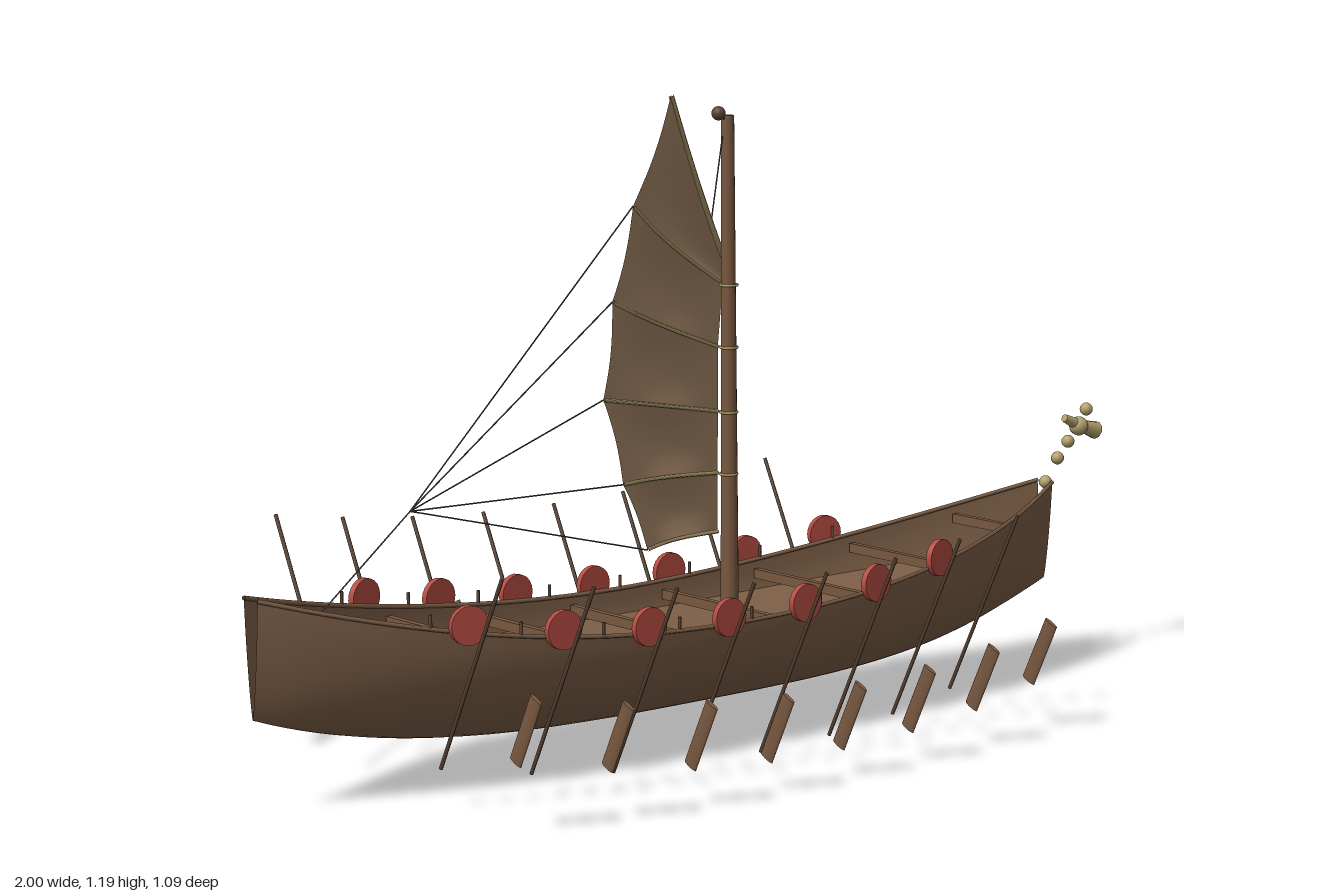
import * as THREE from 'three';

const mat = (name, color, side = THREE.FrontSide) => {
  const m = new THREE.MeshStandardMaterial({ color, side });
  m.name = name;
  return m;
};
const V = (x, y, z) => new THREE.Vector3(x, y, z);

// Grid surface from a rule fn(s, t) -> Vector3, with s and t in 0..1
function surface(fn, ns, nt) {
  const pos = [], idx = [];
  for (let i = 0; i <= ns; i++)
    for (let j = 0; j <= nt; j++) pos.push(...fn(i / ns, j / nt).toArray());
  for (let i = 0; i < ns; i++)
    for (let j = 0; j < nt; j++) {
      const a = i * (nt + 1) + j, b = a + nt + 1;
      idx.push(a, a + 1, b, b, a + 1, b + 1);
    }
  const g = new THREE.BufferGeometry();
  g.setAttribute('position', new THREE.Float32BufferAttribute(pos, 3));
  g.setIndex(idx);
  g.computeVertexNormals();
  return g;
}

// Hull lines along its own length u
const HALF = 0.94;
const st = (u) => Math.min(1, Math.abs(u / HALF));
const halfWidth = (u) => 0.02 + 0.167 * (1 - st(u) ** (u < 0 ? 3.1 : 2.6));
const sheer = (u) => 0.235 + (u < 0 ? 0.135 : 0.122) * st(u) ** 2;
const keel = (u) => 0.058 + 0.105 * st(u) ** 3.4;
const deckY = (u) => 0.188 + 0.05 * st(u) ** 2;
// Section fullness: round amidships, V-shaped at the ends
const fullness = (u) => 2.1 - 0.8 * st(u) ** 5;
const widthAt = (u, y) => {
  const d = Math.min(1, (sheer(u) - y) / (sheer(u) - keel(u))), e = fullness(u);
  return halfWidth(u) * (1 - d ** e) ** (1 / e);
};

export function createModel() {
  const root = new THREE.Group();
  root.name = 'sailingLongboat';
  const hullWood = mat('hull wood', 0x7d5f47, THREE.DoubleSide);
  const darkWood = mat('dark wood', 0x5c4434);
  const mastWood = mat('mast wood', 0x785840);
  const red = mat('shield red', 0xb54c42);
  const cloth = mat('sail cloth', 0xaa896a, THREE.DoubleSide);
  const gold = mat('pale gold', 0xb3a06c);
  const rope = mat('rope', 0x4a4540);

  const add = (parent, name, geo, material, p) => {
    const m = new THREE.Mesh(geo, material);
    m.name = name;
    if (p) m.position.copy(p);
    parent.add(m);
    return m;
  };
  const rod = (parent, name, a, b, r1, r2, material, sides = 8) => {
    const d = b.clone().sub(a);
    const m = add(parent, name, new THREE.CylinderGeometry(r2, r1, d.length(), sides), material,
      a.clone().add(b).multiplyScalar(0.5));
    m.quaternion.setFromUnitVectors(V(0, 1, 0), d.normalize());
    return m;
  };

  // The boat lies at a slight angle
  const boat = new THREE.Group();
  boat.name = 'boat';
  boat.position.set(-0.07, 0, 0.005);
  boat.rotation.y = -Math.PI / 18;
  root.add(boat);

  // Hull shell: superellipse cross-sections
  add(boat, 'hull', surface((s, t) => {
    const u = (s * 2 - 1) * HALF, a = t * Math.PI, p = 2 / fullness(u);
    const c = Math.cos(a), q = Math.max(0, Math.sin(a));
    const v = -Math.sign(c) * Math.abs(c) ** p * halfWidth(u);
    return V(u, sheer(u) - (sheer(u) - keel(u)) * q ** p, v);
  }, 56, 28), hullWood);

  // Deck, ending short of the stern
  add(boat, 'deck', surface((s, t) => {
    const u = -0.79 + s * 1.71, y = deckY(u);
    return V(u, y, (t * 2 - 1) * Math.max(0, widthAt(u, y) - 0.002));
  }, 48, 2), hullWood);

  // Thwarts, kept inside the shell
  for (let i = 0; i < 8; i++) {
    const u = -0.77 + i * 0.22, y = sheer(u) - 0.025;
    const w = Math.min(widthAt(u - 0.007, y - 0.01), widthAt(u + 0.007, y - 0.01)) - 0.004;
    add(boat, 'thwart', new THREE.BoxGeometry(0.013, 0.018, 2 * w), mastWood, V(u, y, 0));
  }

  for (const side of [-1, 1]) {
    // Gunwale
    const pts = [];
    for (let i = 0; i <= 20; i++) {
      const u = (i / 10 - 1) * HALF;
      pts.push(V(u, sheer(u), side * halfWidth(u)));
    }
    add(boat, 'gunwale', new THREE.TubeGeometry(new THREE.CatmullRomCurve3(pts), 50, 0.004, 6), hullWood);

    // Round shields along the rail
    for (let i = 0; i < 7; i++) {
      const u = -0.6 + i * 0.183;
      const slope = (halfWidth(u + 0.01) - halfWidth(u - 0.01)) / 0.02;
      const shield = add(boat, 'shield', new THREE.CylinderGeometry(0.035, 0.035, 0.012, 20), red,
        V(u, sheer(u) + 0.014, side * (halfWidth(u) + 0.007)));
      shield.rotation.set(Math.PI / 2, -side * Math.atan(slope), 0, 'YXZ');
    }

    // Oars: shaft, separate flattened blade and thole pin; the right side rides a little higher
    for (let i = 0; i < 8; i++) {
      const u = -0.664 + i * 0.168, w = halfWidth(u), y = sheer(u) - side * 0.008;
      rod(boat, 'oarShaft', V(u, y - 0.23, side * (w + 0.025)), V(u, y + 0.125, side * (w + 0.2)),
        0.0036, 0.0036, darkWood, 6);
      const blade = add(boat, 'oarBlade', new THREE.CylinderGeometry(0.016, 0.016, 0.13, 12), mastWood,
        V(u, y - 0.12, side * (w + 0.262)));
      blade.scale.x = 0.28;
      blade.rotation.x = side * 0.45;
      rod(boat, 'tholePin', V(u, sheer(u), side * w), V(u, sheer(u) + 0.025, side * w), 0.003, 0.003, darkWood, 6);
    }
  }

  // Bow ornament: beaded neck and a small head
  const neck = [[0.79, 0.25, 0.155, 0.009], [0.825, 0.3, 0.162, 0.01], [0.858, 0.355, 0.168, 0.013],
    [0.887, 0.4, 0.176, 0.013], [0.917, 0.43, 0.18, 0.013], [0.945, 0.458, 0.186, 0.019], [0.965, 0.49, 0.19, 0.013]];
  for (const [x, y, z, r] of neck)
    add(root, 'bowBead', new THREE.SphereGeometry(r, 14, 10), gold, V(x, y, z));
  rod(root, 'bowSnout', V(0.945, 0.46, 0.186), V(0.995, 0.444, 0.192), 0.01, 0.018, gold, 10);
  rod(root, 'bowCrest', V(0.945, 0.46, 0.186), V(0.905, 0.478, 0.179), 0.012, 0.008, gold, 10);

  // Mast with ball and parrel rings
  rod(root, 'mast', V(0.046, 0.18, 0.025), V(0.038, 1.125, 0.025), 0.017, 0.012, mastWood, 16);
  add(root, 'mastBall', new THREE.SphereGeometry(0.013, 14, 10), darkWood, V(0.012, 1.13, 0.025));
  rod(root, 'mastArm', V(0.012, 1.128, 0.025), V(0.038, 1.115, 0.025), 0.003, 0.003, darkWood);
  for (const y of [0.815, 0.7, 0.58, 0.465]) {
    const ring = add(root, 'parrelRing', new THREE.TorusGeometry(0.016, 0.0025, 6, 16), gold, V(0.042, y, 0.025));
    ring.rotation.x = Math.PI / 2;
  }

  // Battened sail: spars from yard to boom, as leech end and luff end
  const spars = [
    [V(-0.21, 1.18, 0.1), V(0.095, 0.805, -0.006)],
    [V(-0.365, 1.0, 0.145), V(0.05, 0.815, 0.004)],
    [V(-0.455, 0.845, 0.175), V(0.036, 0.7, 0.004)],
    [V(-0.485, 0.68, 0.18), V(0.036, 0.58, 0.004)],
    [V(-0.405, 0.52, 0.155), V(0.036, 0.465, 0.004)],
    [V(-0.3, 0.385, 0.12), V(0.036, 0.355, 0.004)],
  ];
  const sparPoint = (k, s) => {
    const p = spars[k][0].clone().lerp(spars[k][1], s);
    p.z -= (k === 0 ? 0.006 : 0.018) * Math.sin(Math.PI * s);
    return p;
  };
  for (let k = 0; k < 6; k++) {
    const curve = new THREE.CatmullRomCurve3([0, 0.25, 0.5, 0.75, 1].map((s) => sparPoint(k, s)));
    const name = k === 0 ? 'yard' : k === 5 ? 'boom' : 'batten';
    add(root, name, new THREE.TubeGeometry(curve, 16, k === 0 ? 0.005 : 0.0035, 6), gold);
    if (k === 5) break;
    add(root, 'sailPanel', surface((t, s) => {
      const b = Math.sin(Math.PI * t);
      const inset = s + (1 - s) * 0.032 * b;
      const p = sparPoint(k, inset).lerp(sparPoint(k + 1, inset), t);
      p.z -= 0.024 * b * Math.sin(Math.PI * s);
      return p;
    }, 10, 16), cloth);
  }

  // Sheets, stern line and halyards
  const knot = V(-0.51, 0.44, -0.255);
  const line = (name, a, b) => rod(root, name, a, b, 0.0014, 0.0014, rope, 5);
  for (let k = 1; k < 6; k++) line('sheet', spars[k][0], knot);
  line('sternLine', knot, V(-0.83, 0.315, -0.165));
  line('halyard', V(0.03, 1.1, 0.022), sparPoint(0, 0.66));
  line('halyard', V(0.052, 1.11, 0.02), V(0.052, 0.8, 0.008));

  return root;
}
